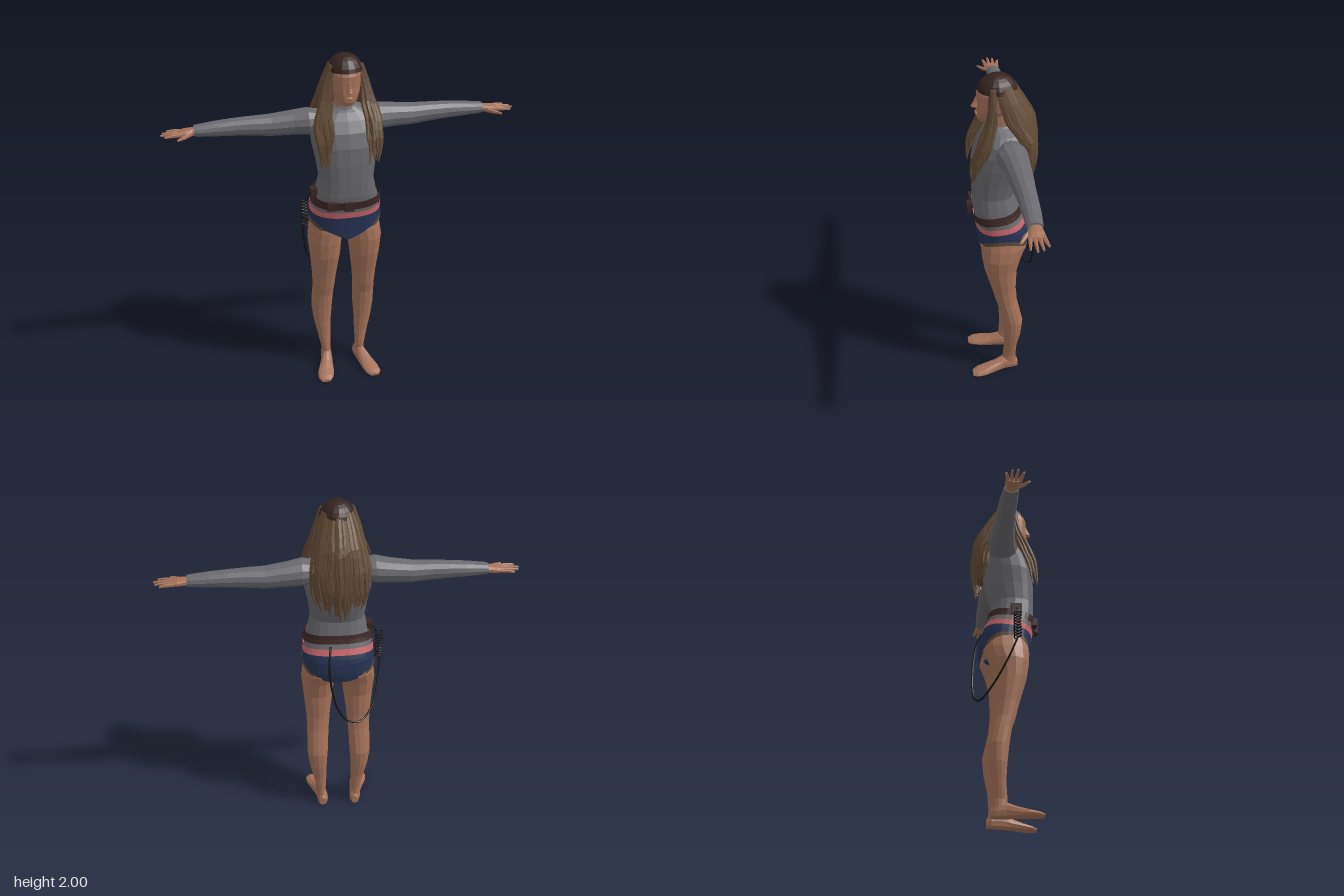
import * as THREE from 'three';

const mat = (name, color, side = THREE.FrontSide) => {
  const m = new THREE.MeshStandardMaterial({ color, side, flatShading: true });
  m.name = name;
  return m;
};
const M = {
  skin: mat('skin', 0xa57259),
  shirt: mat('grey cloth', 0x69696e, THREE.DoubleSide),
  navy: mat('navy cloth', 0x273354, THREE.DoubleSide),
  pink: mat('pink cloth', 0xc9666b, THREE.DoubleSide),
  belt: mat('dark leather', 0x3b2725, THREE.DoubleSide),
  hair: mat('brown hair', 0x614a35, THREE.DoubleSide),
  scalp: mat('dark hair', 0x35231f, THREE.DoubleSide),
  trim: mat('olive trim', 0x5c4a38, THREE.DoubleSide),
  cord: mat('black cord', 0x161414),
};

// Joins rows of points into a surface; capped surfaces are turned to face outward
function surface(rows, capped = true) {
  const n = rows[0].length, pos = rows.flat(2), idx = [];
  for (let i = 0; i < rows.length - 1; i++) for (let j = 0; j < n; j++) {
    const k = (j + 1) % n, a = i * n + j, b = i * n + k;
    idx.push(a, b, b + n, a, b + n, a + n);
  }
  if (capped) {
    [0, rows.length - 1].forEach((r, e) => {
      const c = [0, 1, 2].map(d => rows[r].reduce((s, p) => s + p[d], 0) / n);
      const ci = pos.length / 3;
      pos.push(...c);
      for (let j = 0; j < n; j++) {
        const a = r * n + j, b = r * n + (j + 1) % n;
        e ? idx.push(a, b, ci) : idx.push(b, a, ci);
      }
    });
    const P = i => new THREE.Vector3().fromArray(pos, i * 3);
    let vol = 0;
    for (let i = 0; i < idx.length; i += 3) vol += P(idx[i]).dot(P(idx[i + 1]).cross(P(idx[i + 2])));
    if (vol < 0) idx.reverse();
  }
  const g = new THREE.BufferGeometry();
  g.setAttribute('position', new THREE.Float32BufferAttribute(pos, 3));
  g.setIndex(idx);
  g.computeVertexNormals();
  return g;
}
const angles = n => Array.from({ length: n }, (_, i) => i / n * Math.PI * 2);
const spow = (v, e) => Math.sign(v) * Math.abs(v) ** e;

// Horizontal oval: half width rx, front zf, back zb
const oval = (y, cx, rx, zf, zb, n = 16, e = 0.85) => angles(n).map(a => [
  cx + rx * spow(Math.sin(a), e), y, (zf + zb) / 2 + (zf - zb) / 2 * spow(Math.cos(a), e)]);

// Row of a table interpolated at t (first column)
function sample(table, t) {
  let i = 0;
  while (i < table.length - 2 && table[i + 1][0] < t) i++;
  const a = table[i], b = table[i + 1];
  const k = Math.min(1, Math.max(0, (t - a[0]) / (b[0] - a[0])));
  return a.map((v, j) => v + (b[j] - v) * k);
}

// Trunk outline: y, half width, front z, back z
const TRUNK = [[.9, .17, .13, -.12], [1, .2, .138, -.14], [1.08, .195, .145, -.138], [1.15, .188, .158, -.11],
  [1.2, .175, .168, -.09], [1.3, .155, .172, -.07], [1.4, .168, .173, -.1], [1.5, .188, .165, -.12],
  [1.58, .195, .14, -.13], [1.64, .185, .105, -.122], [1.68, .125, .075, -.1], [1.71, .06, .06, -.05]];

// Garment wrapped on the trunk between two heights that depend on x and z
function wrap(lo, hi, off, steps, n = 32) {
  const rows = [];
  for (let i = 0; i <= steps; i++) rows.push(angles(n).map(a => {
    const sx = Math.sin(a) * .2, sz = Math.cos(a) * .14;
    const y = lo(sx, sz) + (hi(sx, sz) - lo(sx, sz)) * i / steps;
    const [, rx, zf, zb] = sample(TRUNK, y);
    return [(rx + off) * spow(Math.sin(a), .8), y, (zf + zb) / 2 + ((zf - zb) / 2 + off) * spow(Math.cos(a), .8)];
  }));
  return surface(rows, false);
}

export function createModel() {
  const model = new THREE.Group();
  const add = (name, geo, m, x = 0, y = 0, z = 0) => {
    const o = new THREE.Mesh(geo, m);
    o.name = name;
    o.position.set(x, y, z);
    model.add(o);
    return o;
  };
  let seed = 7;
  const rnd = () => (seed = (seed * 16807) % 2147483647) / 2147483647 - .5;
  const tube = (pts, r, seg) => new THREE.TubeGeometry(
    new THREE.CatmullRomCurve3(pts.map(p => new THREE.Vector3(...p))), seg, r, 6);

  // Trunk and clothes
  const tilt = z => -.15 * z;
  const edge = (x, z) => z > 0 ? .935 + .53 * Math.abs(x) : .945 + 2.4 * x * x;
  const trunkRows = t => t.map(([y, rx, zf, zb]) => oval(y, 0, rx, zf, zb, 20, .8));
  add('shirt', surface(trunkRows(TRUNK.slice(4))), M.shirt);
  add('shirtHem', wrap((x, z) => 1.115 + tilt(z), () => 1.21, .003, 3), M.shirt);
  add('briefs', wrap(edge, (x, z) => 1.105 + tilt(z), .009, 6), M.navy);
  add('waistband', wrap((x, z) => 1.1 + tilt(z), (x, z) => 1.135 + tilt(z), .012, 2), M.pink);
  add('legTrim', wrap((x, z) => edge(x, z) - (Math.abs(x) > .14 ? .012 : 0),
    (x, z) => edge(x, z) + (Math.abs(x) > .14 ? .012 : 0), .013, 1), M.trim);
  add('crotch', new THREE.SphereGeometry(1, 12, 8).scale(.035, .03, .125), M.navy, 0, .955, .005);
  add('pelvis', surface([[.97, .1, .11, -.1], [1.02, .185, .13, -.13], [1.1, .185, .135, -.13]]
    .map(([y, rx, zf, zb]) => oval(y, 0, rx, zf, zb))), M.skin);

  // Belt with buckle and pouches
  const belt = z => 1.185 - .17 * z;
  add('belt', wrap((x, z) => belt(z) - .024, (x, z) => belt(z) + .024, .016, 2), M.belt);
  add('buckle', new THREE.BoxGeometry(.055, .05, .02), M.belt, -.01, 1.165, .188);
  add('frontPouch', new THREE.BoxGeometry(.06, .045, .03), M.belt, -.1, 1.165, .165);
  add('cordHolder', new THREE.BoxGeometry(.035, .07, .06), M.belt, -.185, 1.205, .05);

  // Coiled lead and hanging cord
  const coil = [[-.185, 1.23, .05], [-.215, 1.19, .05]];
  for (let i = 0; i <= 90; i++) {
    const a = i / 90 * 9 * Math.PI * 2;
    coil.push([-.243 + .02 * Math.cos(a), 1.165 - i / 90 * .165, .05 + .02 * Math.sin(a)]);
  }
  add('coiledLead', tube(coil, .0035, 320), M.cord);
  add('hangingCord', tube([[-.25, 1, .05], [-.235, .88, 0], [-.2, .74, -.075], [-.12, .668, -.14], [-.04, .7, -.17],
    [.02, .8, -.18], [.06, 1, -.17], [.06, 1.1, -.15], [.05, 1.17, -.11]], .006, 50), M.cord);

  // Head, neck and face
  const HEAD = [[1.735, .03, .125, .06], [1.76, .055, .138, 0], [1.8, .074, .138, -.05], [1.85, .085, .135, -.08],
    [1.9, .085, .137, -.085], [1.95, .075, .115, -.07], [1.985, .04, .07, -.03]];
  add('head', surface(HEAD.map(([y, rx, zf, zb]) => oval(y, 0, rx, zf, zb, 16, .95))), M.skin);
  add('neck', surface([oval(1.64, 0, .07, .06, -.07), oval(1.7, 0, .055, .055, -.05),
    oval(1.78, 0, .05, .06, -.05)]), M.skin);
  add('collar', surface([oval(1.69, 0, .085, .07, -.075), oval(1.712, 0, .062, .063, -.06)], false), M.shirt);
  add('nose', surface([[1.88, .006, .138], [1.84, .01, .156], [1.82, .017, .168], [1.81, .012, .15]]
    .map(([y, rx, zf]) => oval(y, 0, rx, zf, .11, 8))), M.skin);
  add('lips', new THREE.SphereGeometry(1, 10, 6).scale(.024, .009, .01), M.skin, 0, 1.782, .136);

  // Arms, hands, legs and feet, mirrored
  for (const s of [-1, 1]) {
    const side = s > 0 ? 'left' : 'right';
    // Sections across x: x, y, z, half height, half depth
    const limb = (table, n) => surface(table.map(([x, y, z, ry, rz]) =>
      angles(n).map(a => [s * x, y + ry * Math.cos(a), z + rz * Math.sin(a)])));
    add(side + 'Sleeve', limb([[.12, 1.61, -.03, .06, .07], [.2, 1.611, -.03, .074, .088], [.28, 1.605, -.042, .068, .076],
      [.4, 1.597, -.05, .061, .066], [.5, 1.6, -.052, .055, .058], [.6, 1.601, -.055, .049, .053],
      [.7, 1.6, -.055, .042, .05], [.8, 1.597, -.055, .033, .043], [.82, 1.597, -.055, .03, .04]], 12), M.shirt);
    add(side + 'Hand', limb([[.78, 1.596, -.055, .025, .033], [.83, 1.594, -.055, .022, .034],
      [.87, 1.592, -.053, .02, .044], [.905, 1.59, -.052, .013, .043]], 10), M.skin);
    [[-.085, -.1, .965], [-.063, -.07, .992], [-.041, -.04, 1], [-.02, -.008, .98]].forEach(([z0, z1, x1], i) =>
      add(side + 'Finger' + (i + 1), limb([[.885, 1.591, z0, .011, .012], [.935, 1.591, (z0 + z1) / 2, .01, .01],
        [x1, 1.588, z1, .006, .006]], 6), M.skin));
    add(side + 'Thumb', limb([[.83, 1.59, -.035, .014, .016], [.87, 1.585, 0, .012, .014],
      [.915, 1.58, .028, .007, .008]], 6), M.skin);

    const LEG = [[.04, .105, .03, .005, -.078], [.1, .107, .027, .008, -.073], [.2, .115, .04, 0, -.08],
      [.3, .125, .052, .005, -.1], [.4, .128, .062, .015, -.11], [.5, .125, .064, .03, -.088],
      [.56, .122, .065, .05, -.075], [.65, .12, .071, .072, -.068], [.8, .118, .088, .115, -.074],
      [.9, .118, .098, .13, -.1], [.97, .108, .1, .134, -.132], [1.06, .1, .088, .12, -.12]];
    add(side + 'Leg', surface(LEG.map(([y, cx, rx, zf, zb]) => oval(y, s * cx, rx, zf, zb, 14, .95))), M.skin);
    // Foot sections: z, x, half width, height
    const FOOT = [[-.085, .1, .02, .05], [-.06, .1, .033, .085], [0, .108, .034, .09], [.06, .123, .042, .062],
      [.12, .138, .05, .042], [.17, .147, .046, .03], [.2, .15, .028, .018]];
    add(side + 'Foot', surface(FOOT.map(([z, cx, rx, h]) => angles(12).map(a =>
      [s * (cx + rx * Math.cos(a)), Math.max(0, h * .4 + h * .6 * Math.sin(a)), z]))), M.skin);
  }

  // Hair: dark crown, an inner mass and wavy tapering locks
  add('crown', new THREE.SphereGeometry(1, 16, 6, 0, Math.PI * 2, 0, 1.4).scale(.102, .1, .112), M.scalp, 0, 1.9, .022);
  const BACK = [[1.38, .12, -.125, .045], [1.53, .16, -.125, .065], [1.66, .16, -.1, .085], [1.77, .137, -.035, .135],
    [1.87, .112, 0, .112], [1.95, .082, .02, .085]];
  add('hairMass', surface(BACK.slice(1).map(([y, rx, cz, rz]) => angles(24).map(a => {
    const k = .93 + .05 * Math.cos(a * 12);
    return [rx * k * Math.sin(a), y, cz + rz * k * Math.min(Math.cos(a), .25)];
  }))), M.hair);
  const lock = (name, at, y1, w) => {
    const phase = rnd() * 6, rows = [];
    for (let i = 0; i <= 12; i++) {
      const t = i / 12, y = 1.95 + (y1 - 1.95) * t, [x, z, tx, tz] = at(y);
      const r = w * (t < .7 ? .7 + .45 * t : 1.02 * (1.08 - t) / .38), wave = .008 * Math.sin(t * 15 + phase) * t;
      rows.push(angles(6).map(a => {
        const u = r * Math.sin(a) + wave, v = r * .6 * Math.cos(a);
        return [x + tx * u - tz * v, y, z + tz * u + tx * v];
      }));
    }
    add(name, surface(rows), M.hair);
  };
  for (let i = 0; i < 34; i++) {
    const a = (82 + 196 * (i + .5) / 34) * Math.PI / 180, out = .96 + .1 * rnd();
    lock('backLock', y => {
      const [, rx, cz, rz] = sample(BACK, y);
      return [rx * out * Math.sin(a), cz + rz * out * Math.cos(a), Math.cos(a), -Math.sin(a)];
    }, 1.4 + .1 * rnd() + .08 * Math.abs(Math.sin(a)), .022);
  }
  // Front locks: y, x, z, spread
  const FRONT = [[1.42, .13, .178, .03], [1.55, .14, .15, .042], [1.65, .14, .112, .042], [1.75, .118, .075, .03],
    [1.85, .102, .06, .018], [1.95, .066, .055, .02]];
  for (const s of [-1, 1]) for (let i = 0; i < 11; i++) {
    const a = i * 2.4, k = Math.sqrt((i + .5) / 11);
    lock('frontLock', y => {
      const [, x, z, r] = sample(FRONT, y);
      return [s * (x + r * k * Math.cos(a)), z + r * .75 * k * Math.sin(a), .8, -.6 * s];
    }, 1.47 + .13 * rnd(), .02);
  }
  return model;
}
